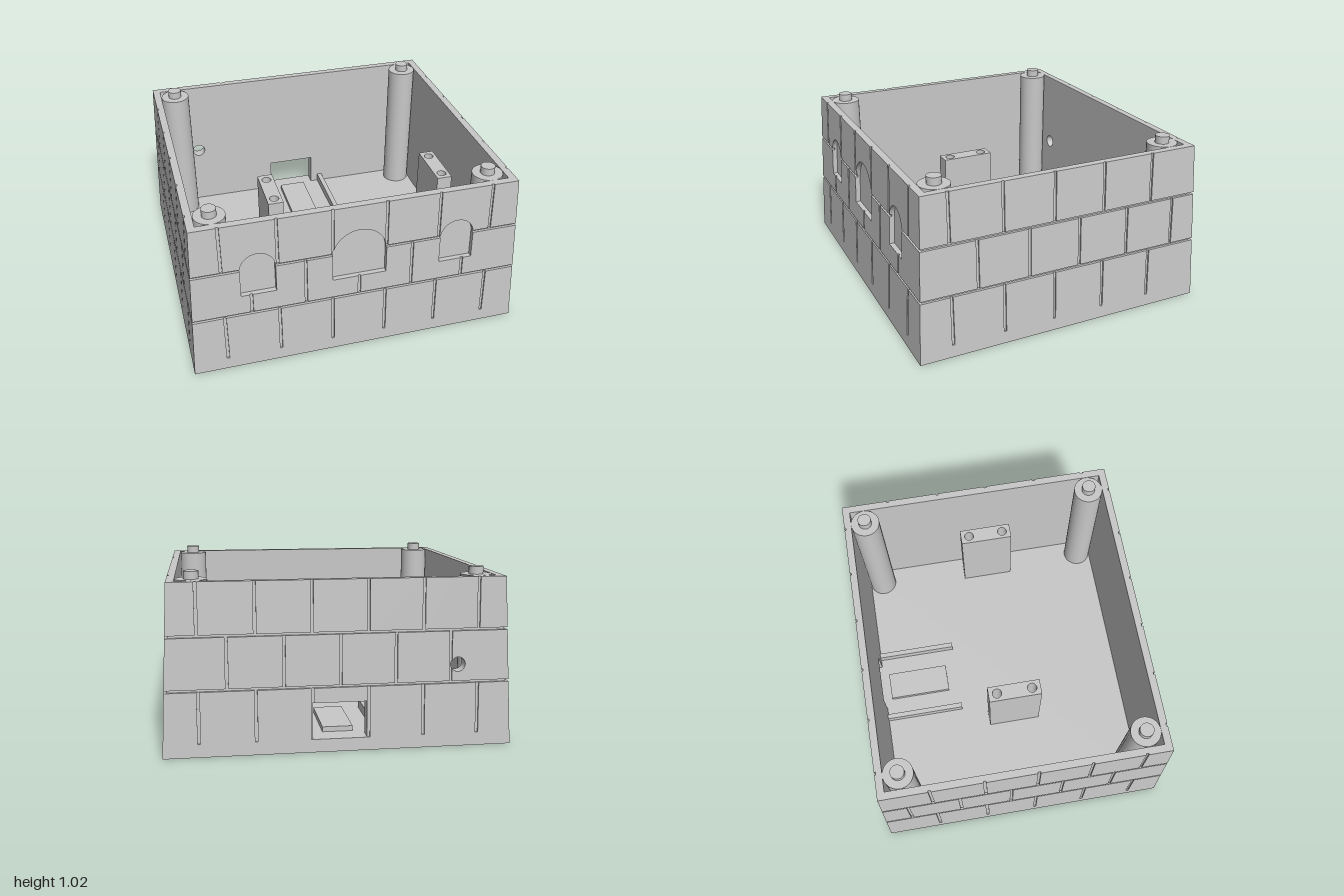
import * as THREE from 'three';

const stone = new THREE.MeshStandardMaterial({ color: 0xc8c8c8 });
stone.name = 'light grey stone';

const TOP = 0.98, FLOOR = 0.075, LEAN = 0.046, GAP = 0.008;
const JOINT = 0.009, GROOVE = 0.015, RECESS = 0.03; // depths of upright joints, level joints, arches
const clamp = (v, a, b) => Math.min(b, Math.max(a, v));
const thickness = (y) => 0.09 - LEAN * y; // leaning outside, upright inside
const depth = (d) => () => d;

// Openings: a span in u, with lower and upper limits at each u
function rectCut(u0, u1, y0, y1) {
  return { us: [u0, u1], lo: () => y0, hi: () => y1 };
}
function roundCut(u, y, r, bottom) {
  const us = [];
  for (let i = 0; i <= 28; i++) us.push(u - r * Math.cos((Math.PI * i) / 28));
  const rise = (x) => Math.sqrt(Math.max(0, r * r - (x - u) ** 2));
  return { us, lo: (x) => bottom ?? y - rise(x), hi: (x) => y + rise(x) };
}

// One wall, made of layers of blocks around its openings; corners are mitred
function wallGeometry(half, dist, seams, recesses, holes) {
  const pos = [];
  const point = (u, y, layer) => {
    const d = layer(y), limit = half - LEAN * y - d;
    return [clamp(u, -limit, limit), y, dist - LEAN * y - d];
  };
  const block = (a, b, loA, hiA, loB, hiB, outer, inner) => {
    if (hiA - loA < 1e-6 && hiB - loB < 1e-6) return;
    const c = [];
    for (const d of [outer, inner])
      c.push(point(a, loA, d), point(b, loB, d), point(b, hiB, d), point(a, hiA, d));
    for (const [i, j, k, l] of [[0, 1, 2, 3], [5, 4, 7, 6], [4, 0, 3, 7], [1, 5, 6, 2], [3, 2, 6, 7], [4, 5, 1, 0]])
      for (const n of [i, j, k, i, k, l]) pos.push(...c[n]);
  };
  // A rectangle of wall, split into columns wherever an opening crosses it
  const panel = (u0, u1, y0, y1, outer, inner, cuts) => {
    const inside = cuts.flatMap((c) => c.us).filter((u) => u > u0 + 1e-6 && u < u1 - 1e-6);
    const us = [u0, ...inside.sort((p, q) => p - q), u1];
    for (let i = 0; i + 1 < us.length; i++) {
      const a = us[i], b = us[i + 1], mid = (a + b) / 2;
      if (b - a < 1e-6) continue;
      const cut = cuts.find((c) => c.us[0] < mid && c.us[c.us.length - 1] > mid);
      if (!cut) {
        block(a, b, y0, y1, y0, y1, outer, inner);
        continue;
      }
      const lim = (f, u) => clamp(f(u), y0, y1);
      block(a, b, y0, lim(cut.lo, a), y0, lim(cut.lo, b), outer, inner);
      block(a, b, lim(cut.hi, a), y1, lim(cut.hi, b), y1, outer, inner);
    }
  };
  const all = [...recesses, ...holes];

  // Inner shell, then the layer behind the level joints
  panel(-2, 2, 0, TOP, depth(RECESS), thickness, holes);
  panel(-2, 2, 0, TOP, depth(GROOVE), depth(RECESS), all);
  // Plinth band and three courses of bricks on their backing
  panel(-2, 2, 0, FLOOR, depth(0), depth(GROOVE), all);
  [[FLOOR, 0.37, 0], [0.384, 0.673, 1], [0.687, TOP, 0]].forEach(([y0, y1, s]) => {
    panel(-2, 2, y0, y1, depth(JOINT), depth(GROOVE), all);
    const ends = [-2, ...seams[s].flatMap((u) => [u - GAP, u + GAP]), 2];
    for (let i = 0; i < ends.length; i += 2)
      panel(ends[i], ends[i + 1], y0, y1, depth(0), depth(JOINT), all);
  });

  const g = new THREE.BufferGeometry();
  g.setAttribute('position', new THREE.Float32BufferAttribute(pos, 3));
  g.computeVertexNormals();
  return g;
}

export function createModel() {
  const model = new THREE.Group();
  model.name = 'brickBox';
  const add = (name, geometry, x = 0, y = 0, z = 0) => {
    const m = new THREE.Mesh(geometry, stone);
    m.name = name;
    m.position.set(x, y, z);
    model.add(m);
    return m;
  };
  const box = (name, x0, x1, y0, y1, z0, z1) =>
    add(name, new THREE.BoxGeometry(x1 - x0, y1 - y0, z1 - z0), (x0 + x1) / 2, (y0 + y1) / 2, (z0 + z1) / 2);

  // Walls
  const longSeams = [[-0.797, -0.478, -0.16, 0.16, 0.478, 0.797], [-0.637, -0.319, 0, 0.319, 0.637]];
  const sideSeams = [[-0.565, -0.245, 0.073, 0.39, 0.708], [-0.722, -0.405, -0.088, 0.23, 0.548]];
  const mirrored = sideSeams.map((row) => row.map((z) => -z).reverse());
  const arches = [
    roundCut(-0.593, 0.674, 0.102, 0.505),
    roundCut(0, 0.661, 0.161, 0.505),
    roundCut(0.593, 0.674, 0.102, 0.505),
  ];
  const backHoles = [rectCut(-0.16, 0.152, FLOOR, 0.285), roundCut(0.68, 0.48, 0.042)];
  add('frontWall', wallGeometry(1, 0.908, longSeams, arches, []));
  add('backWall', wallGeometry(1, 0.908, longSeams, [], backHoles)).rotation.y = Math.PI;
  add('leftWall', wallGeometry(0.908, 1, mirrored, [], [])).rotation.y = Math.PI / 2;
  add('rightWall', wallGeometry(0.908, 1, sideSeams, [], [])).rotation.y = -Math.PI / 2;

  // Floor with the small platform and low guide rails behind the back opening
  box('floor', -0.91, 0.91, 0, FLOOR, -0.818, 0.818);
  box('platform', -0.09, 0.088, FLOOR, 0.105, -0.775, -0.372);
  for (const s of [-1, 1])
    box('guideRail', s * 0.226 - 0.016, s * 0.226 + 0.016, FLOOR, 0.13, -0.818, -0.302);

  // Corner posts with locating pegs
  for (const x of [-0.818, 0.818])
    for (const z of [-0.728, 0.728]) {
      add('cornerPost', new THREE.CylinderGeometry(0.09, 0.09, TOP - FLOOR, 48), x, (TOP + FLOOR) / 2, z);
      add('peg', new THREE.CylinderGeometry(0.042, 0.042, 0.045, 32), x, TOP + 0.0225, z);
    }

  // Mounting blocks, each with two screw holes
  const plan = new THREE.Shape();
  plan.moveTo(-0.049, -0.17).lineTo(0.049, -0.17).lineTo(0.049, 0.17).lineTo(-0.049, 0.17).closePath();
  for (const y of [-0.114, 0.114])
    plan.holes.push(new THREE.Path().absarc(0, y, 0.03, 0, Math.PI * 2, true));
  const mount = new THREE.ExtrudeGeometry(plan, { depth: 0.63 - FLOOR, bevelEnabled: false, curveSegments: 24 });
  mount.rotateX(-Math.PI / 2);
  for (const x of [-0.338, 0.798]) add('mountingBlock', mount, x, FLOOR, 0.043);

  return model;
}
